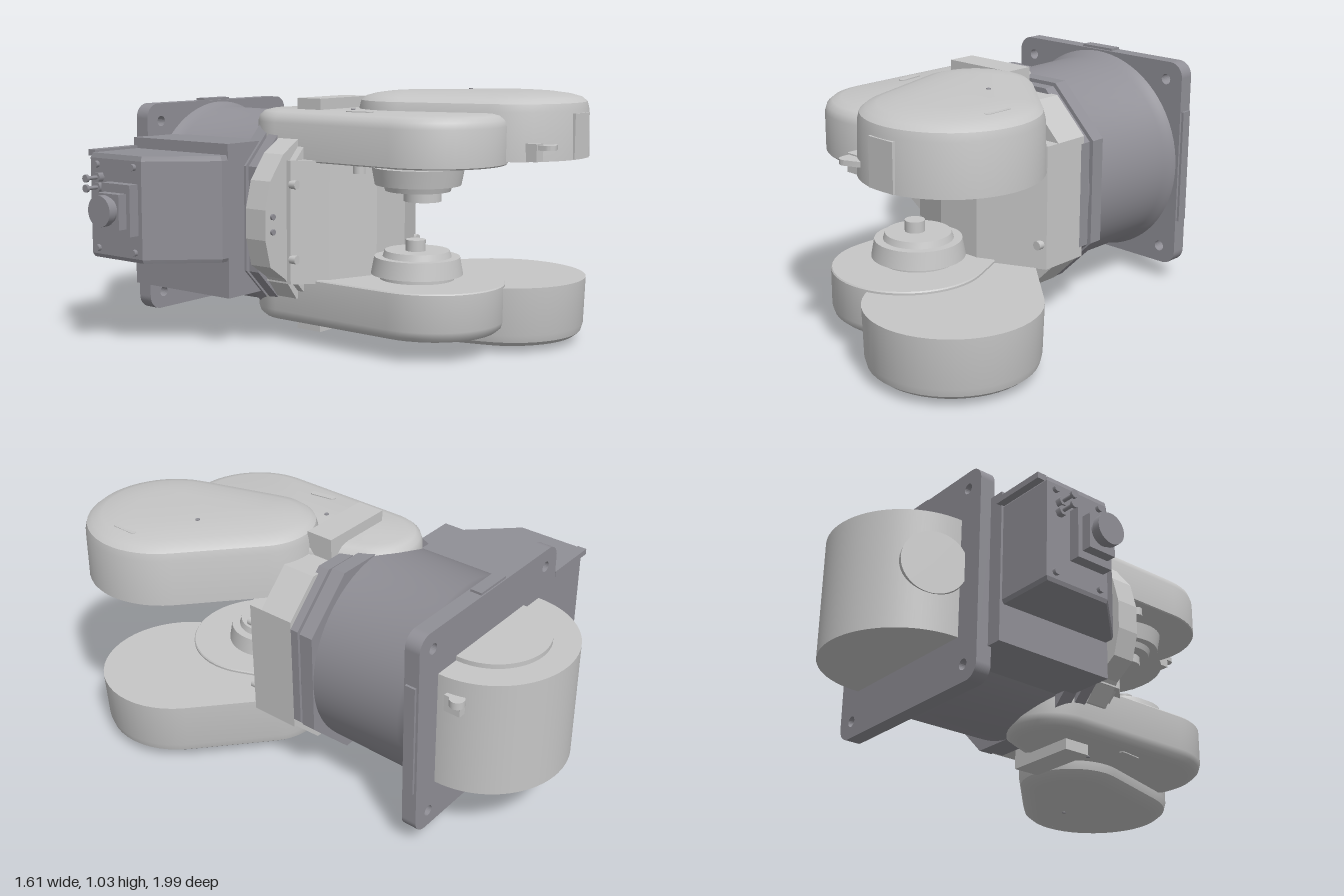
import * as THREE from 'three';
import { toCreasedNormals } from 'three/addons/utils/BufferGeometryUtils.js';

const light = new THREE.MeshStandardMaterial({ name: 'light grey paint', color: 0xc6c6c6 });
const dark = new THREE.MeshStandardMaterial({ name: 'dark grey casting', color: 0x908f96 });
const MID = 0.52; // height of the symmetry plane between the two arms

// Outline (x, z) around two circles joined by tangents
function hull([x1, z1, r1], [x2, z2, r2], inset = 0, n = 28) {
  const phi = Math.atan2(z2 - z1, x2 - x1);
  const beta = Math.acos((r1 - r2) / Math.hypot(x2 - x1, z2 - z1));
  const pts = [];
  const arc = (x, z, r, a, b) => {
    for (let i = 0; i <= n; i++) {
      const t = a + (b - a) * i / n;
      pts.push([x + (r - inset) * Math.cos(t), z + (r - inset) * Math.sin(t)]);
    }
  };
  arc(x2, z2, r2, phi - beta, phi + beta);
  arc(x1, z1, r1, phi + beta, phi + 2 * Math.PI - beta);
  return pts;
}

// Closed solid through convex outlines stacked along y
function loft(layers, crease = 0.6) {
  const L = [...layers].sort((a, b) => a.y - b.y), n = L[0].pts.length, pos = [];
  const at = (k, i) => [L[k].pts[i % n][0], L[k].y, L[k].pts[i % n][1]];
  const mid = k => [
    L[k].pts.reduce((s, p) => s + p[0], 0) / n, L[k].y,
    L[k].pts.reduce((s, p) => s + p[1], 0) / n];
  const last = L.length - 1, low = mid(0), high = mid(last);
  for (let i = 0; i < n; i++) {
    for (let k = 0; k < last; k++) {
      pos.push(...at(k, i), ...at(k + 1, i), ...at(k, i + 1));
      pos.push(...at(k + 1, i), ...at(k + 1, i + 1), ...at(k, i + 1));
    }
    pos.push(...low, ...at(0, i), ...at(0, i + 1), ...high, ...at(last, i + 1), ...at(last, i));
  }
  const g = new THREE.BufferGeometry();
  g.setAttribute('position', new THREE.Float32BufferAttribute(pos, 3));
  return toCreasedNormals(g, crease);
}

const polygon = pts => new THREE.Shape(pts.map(p => new THREE.Vector2(...p)));

function slab(shape, z0, z1) {
  return new THREE.ExtrudeGeometry(shape, { depth: z1 - z0, bevelEnabled: false, curveSegments: 12 })
    .translate(0, 0, z0);
}

function octagon(x0, x1, y0, y1, c) {
  return polygon([[x0 + c, y0], [x1 - c, y0], [x1, y0 + c], [x1, y1 - c],
    [x1 - c, y1], [x0 + c, y1], [x0, y1 - c], [x0, y0 + c]]);
}

function roundedRect(x0, x1, y0, y1, r) {
  const s = new THREE.Shape();
  s.absarc(x1 - r, y1 - r, r, 0, Math.PI / 2);
  s.absarc(x0 + r, y1 - r, r, Math.PI / 2, Math.PI);
  s.absarc(x0 + r, y0 + r, r, Math.PI, Math.PI * 1.5);
  s.absarc(x1 - r, y0 + r, r, Math.PI * 1.5, Math.PI * 2);
  return s;
}

export function createModel() {
  const model = new THREE.Group();
  model.name = 'robotWrist';
  const add = (name, geo, mat) => {
    const m = new THREE.Mesh(geo, mat);
    m.name = name;
    model.add(m);
    return m;
  };
  const box = (name, mat, x0, x1, y0, y1, z0, z1) =>
    add(name, new THREE.BoxGeometry(x1 - x0, y1 - y0, z1 - z0)
      .translate((x0 + x1) / 2, (y0 + y1) / 2, (z0 + z1) / 2), mat);
  const rod = (name, mat, r, len, axis, x, y, z, seg = 40) => {
    const g = new THREE.CylinderGeometry(r, r, len, seg);
    if (axis === 'x') g.rotateZ(Math.PI / 2);
    if (axis === 'z') g.rotateX(Math.PI / 2);
    return add(name, g.translate(x, y, z), mat);
  };

  // Mounting flange with corner holes
  const plate = roundedRect(-0.36, 0.54, 0.08, 0.965, 0.06);
  for (const x of [-0.28, 0.46]) for (const y of [0.15, 0.89]) {
    plate.holes.push(new THREE.Path().absarc(x, y, 0.022, 0, Math.PI * 2, true));
  }
  add('mountingFlange', slab(plate, -0.66, -0.595), dark);
  box('flangeNotchCover', dark, 0, 0.16, 0.94, 0.975, -0.655, -0.605);
  box('flangeSideTab', dark, 0.5, 0.55, 0.28, 0.76, -0.65, -0.605);

  // Round housing flaring into the flange
  const profile = [[0, -0.6], [0.44, -0.6], [0.43, -0.575], [0.416, -0.54], [0.413, -0.14], [0.4, -0.05], [0, -0.05]];
  const body = new THREE.LatheGeometry(profile.map(p => new THREE.Vector2(...p)), 72)
    .rotateX(Math.PI / 2).translate(0.09, MID, 0);
  add('roundHousing', toCreasedNormals(body, 0.5), dark);
  add('housingCollar', slab(octagon(-0.33, 0.505, 0.11, 0.935, 0.2), -0.13, -0.07), dark);
  add('housingFrontRing', slab(octagon(-0.33, 0.5, 0.12, 0.925, 0.19), -0.055, -0.005), dark);

  // Side box, cover and connectors
  box('sideBox', dark, -0.425, -0.05, 0.21, 0.83, -0.61, -0.08);
  const cover = [[-0.42, -0.6], [-0.42, -0.08], [-0.46, -0.08], [-0.675, -0.31], [-0.675, -0.6]];
  const coverTop = cover.map(([x, z]) => [x * 0.98 - 0.008, z * 0.97 - 0.01]);
  add('connectorCover', loft([{ y: 0.36, pts: coverTop }, { y: 0.375, pts: cover },
    { y: 0.765, pts: cover }, { y: 0.785, pts: coverTop }], 0.2), dark);
  box('coverRim', dark, -0.66, -0.42, 0.77, 0.795, -0.63, -0.59);
  box('connectorBlock', dark, -0.72, -0.67, 0.47, 0.675, -0.49, -0.33);
  box('connectorNeck', dark, -0.76, -0.71, 0.5, 0.64, -0.47, -0.35);
  rod('plugBody', dark, 0.052, 0.05, 'x', -0.765, 0.575, -0.41);
  rod('plugRing', dark, 0.062, 0.03, 'x', -0.793, 0.575, -0.41);
  for (const [y, z] of [[0.69, -0.54], [0.65, -0.54]]) {
    rod('fittingPin', dark, 0.008, 0.09, 'x', -0.715, y, z, 10);
    rod('fittingHead', dark, 0.016, 0.012, 'x', -0.755, y, z, 12);
    rod('fittingBase', dark, 0.02, 0.03, 'x', -0.685, y, z, 6);
  }
  for (const y of [0.4, 0.74]) for (const z of [-0.56, -0.35]) {
    rod('coverBolt', dark, 0.014, 0.02, 'x', -0.68, y, z, 8);
  }

  // Round rear housing
  rod('rearHousing', light, 0.335, 0.495, 'y', 0.09, 0.518, -0.665, 72);
  rod('rearHousingCap', light, 0.225, 0.03, 'y', 0.09, 0.77, -0.67, 56);
  const bulge = rod('rearSideCover', light, 0.13, 0.05, 'x', 0, 0, 0, 40);
  bulge.position.set(-0.21, 0.55, -0.76);
  bulge.rotation.y = -0.35;
  box('rearLug', light, 0.38, 0.44, 0.63, 0.7, -0.77, -0.7);
  rod('rearLugEye', light, 0.03, 0.03, 'y', 0.43, 0.685, -0.75, 20);

  // Yoke carrying the arms
  add('yokeBase', slab(octagon(-0.26, 0.5, 0.14, 0.905, 0.14), -0.02, 0.13), light);
  const yoke = [[0.5, -0.02], [0.5, 0.19], [0.24, 0.31], [0.04, 0.31], [-0.17, 0.23], [-0.28, 0.12], [-0.28, -0.02]];
  add('yokeBlock', loft([{ y: 0.27, pts: yoke }, { y: 0.765, pts: yoke }], 0.2), light);
  add('yokeSidePlate', slab(polygon([[0, 0.2], [0, 0.87], [-0.2, 0.85], [-0.3, 0.79], [-0.38, 0.69],
    [-0.41, 0.58], [-0.41, 0.46], [-0.38, 0.35], [-0.29, 0.29], [-0.22, 0.2]]), 0.0, 0.1), light);
  for (const y of [0.37, 0.67]) {
    rod('yokeBolt', light, 0.018, 0.03, 'z', -0.27, y, 0.13, 12);
    rod('yokeBolt', light, 0.018, 0.03, 'z', 0.475, y, 0.205, 12);
  }
  for (const y of [0.49, 0.55]) rod('plateBolt', dark, 0.012, 0.02, 'z', -0.37, y, 0.1, 10);

  // Arm covers, mirrored above and below
  const inner = [[-0.02, -0.02, 0.19], [0.09, 0.535, 0.3]];
  const outer = [[0.26, 0.335, 0.23], [0.465, 0.66, 0.333]];
  for (const s of [1, -1]) {
    const side = s > 0 ? 'upper' : 'lower';
    const Y = y => MID + s * (y - MID);
    const cover = (name, ends, steps) =>
      add(side + name, loft(steps.map(([y, inset]) => ({ y: Y(y), pts: hull(...ends, inset) }))), light);
    cover('InnerArm', inner, [[0.755, 0.004], [0.76, 0], [0.905, 0], [0.93, 0.008], [0.947, 0.028], [0.955, 0.06]]);
    cover('OuterArm', outer, [[0.768, 0], [0.96, 0.006], [0.99, 0.014], [1.007, 0.035],
      [1.018, 0.075], [1.027, 0.14], [1.031, 0.2]]);

    // Bridge strap over the shoulder
    box(side + 'ShoulderStrap', light, -0.09, 0.23, Math.min(Y(0.9), Y(1)), Math.max(Y(0.9), Y(1)), 0, 0.12);

    // Slots and screws on the covers
    const slot = (x, z, y, turn) => {
      const m = add(side + 'CoverSlot', loft([{ y: -0.004, pts: hull([0, -0.045, 0.014], [0, 0.045, 0.014], 0, 8) },
        { y: 0.004, pts: hull([0, -0.045, 0.014], [0, 0.045, 0.014], 0, 8) }]), light);
      m.position.set(x, Y(y), z);
      m.rotation.y = turn;
    };
    slot(-0.11, 0.33, 0.955, 0.15);
    slot(0.685, 0.66, 1.019, 0);
    for (const [x, z, y] of [[0.47, 0.48, 1.03], [0.47, 0.84, 1.022], [0.25, 0.3, 1.02], [0.34, 0.3, 1.019], [0.01, 0.21, 0.955]]) {
      rod(side + 'CoverScrew', dark, 0.009, 0.008, 'y', x, Y(y), z, 10);
    }

    // Joint disc facing the gap
    const disc = (name, r0, y0, r1, y1) => {
      const circle = r => hull([0.085, 0.477, r], [0.086, 0.477, r], 0, 24);
      add(side + name, loft([{ y: Y(y0), pts: circle(r0) }, { y: Y(y1), pts: circle(r1) }]), light);
    };
    disc('JointSpacer', 0.15, 0.73, 0.15, 0.765);
    disc('JointDisc', 0.172, 0.665, 0.185, 0.735);
    disc('JointLip', 0.13, 0.64, 0.14, 0.67);
    if (s > 0) rod('upperJointHub', light, 0.075, 0.06, 'y', 0.085, 0.63, 0.5);
    else rod('lowerJointHub', light, 0.04, 0.06, 'y', 0.07, 0.415, 0.48);
  }

  // Upper arm fittings
  box('frontPanel', light, 0.41, 0.53, 0.77, 0.95, 0.95, 0.994);
  box('frontBracket', light, 0.22, 0.345, 0.77, 0.84, 0.87, 0.93);
  add('bracketEar', loft([0.815, 0.835].map(y => ({ y, pts: hull([0.26, 0.96, 0.03], [0.3, 0.9, 0.07], 0, 10) }))), light);
  rod('innerArmStud', light, 0.025, 0.04, 'y', -0.15, 0.74, 0.36, 16);
  return model;
}
